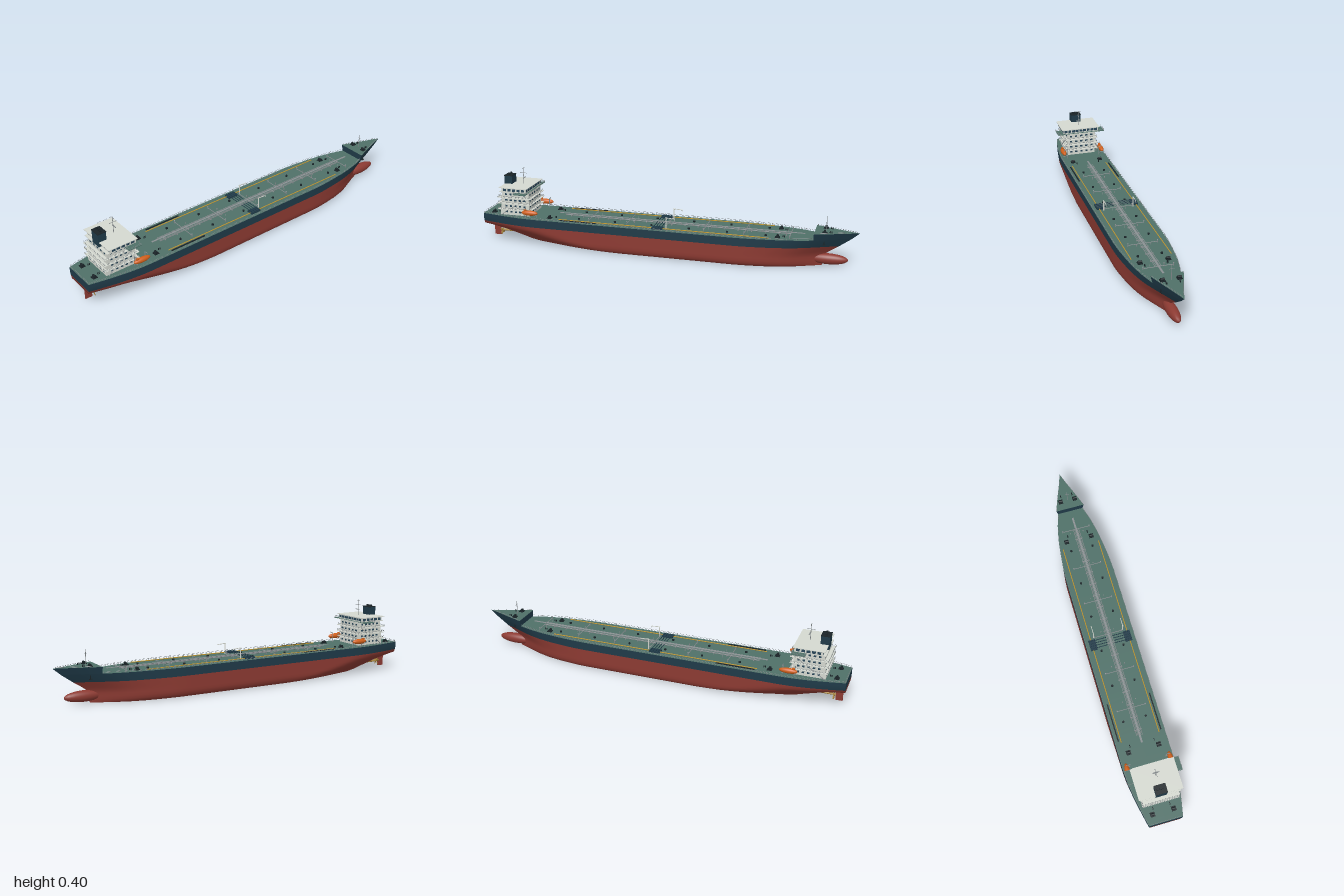
import * as THREE from 'three';
import { mergeGeometries } from 'three/addons/utils/BufferGeometryUtils.js';

const RED = 0x8c3a32, BLUE = 0x1f3a48, GREEN = 0x4f7068, WHITE = 0xd4d8d0, DARK = 0x1a2428,
  GREY = 0x8a9092, YELLOW = 0xc49a30, ORANGE = 0xd0601c, BRONZE = 0xa8843c, GLASS = 0x274558;
const DECK = 0.153, FORE = 0.187, BEAM = 0.133;
const lerp = THREE.MathUtils.lerp;

// Piecewise-linear lookup in [[key, value], ...]
function look(table, k) {
  if (k <= table[0][0]) return table[0][1];
  for (let i = 1; i < table.length; i++) {
    const [a, va] = table[i - 1], [b, vb] = table[i];
    if (k <= b) return lerp(va, vb, (k - a) / (b - a));
  }
  return table[table.length - 1][1];
}

// Hull lines: stem, stern and half breadth at each height
const bowX = y => look([[0, 0.82], [0.06, 0.828], [0.085, 0.86], [0.11, 0.9], [DECK, 0.96], [FORE, 1]], y);
const sternX = y => look([[0, -0.68], [0.01, -0.75], [0.02, -0.8], [0.05, -0.9], [0.075, -0.955], [0.095, -1]], y);
const sternW = y => look([[0, 0.3], [0.02, 0.12], [0.05, 0.15], [0.075, 0.36], [0.095, 0.58], [0.12, 0.66]], y);
const ENTRY = [[0, 0], [0.1, 0.16], [0.22, 0.37], [0.34, 0.57], [0.45, 0.71], [0.6, 0.84], [0.75, 0.92], [0.88, 0.975], [1, 1]];
function halfWidth(x, y) {
  const bow = look(ENTRY, (bowX(y) - x) / (bowX(y) - 0.38));
  const run = look([[0, 0.5], [0.095, 0.33]], y);
  const t = Math.max(0, Math.min(1, (x - sternX(y)) / run));
  const stern = lerp(sternW(y), 1, Math.sin(t * Math.PI / 2));
  const k = 1 - Math.min(1, y / 0.035);
  return BEAM * bow * stern * (0.75 + 0.25 * Math.sqrt(1 - k * k));
}

// Surface through a grid of points fn(i, j)
function grid(nu, nv, fn, flip = false) {
  const pos = [], idx = [];
  for (let j = 0; j <= nv; j++) for (let i = 0; i <= nu; i++) pos.push(...fn(i, j));
  for (let j = 0; j < nv; j++) for (let i = 0; i < nu; i++) {
    const a = j * (nu + 1) + i, b = a + 1, c = a + nu + 1, d = c + 1;
    if (flip) idx.push(a, d, b, a, c, d); else idx.push(a, b, d, a, d, c);
  }
  const g = new THREE.BufferGeometry();
  g.setAttribute('position', new THREE.Float32BufferAttribute(pos, 3));
  g.setIndex(idx);
  g.computeVertexNormals();
  return g;
}

// Two mirrored sides plus the flat aft end
function shell(rows, startX) {
  const n = 70, nv = rows.length - 1, out = [];
  for (const s of [1, -1]) out.push(grid(n, nv, (i, j) => {
    const y = rows[j], x = lerp(startX(y), bowX(y), i / n);
    return [x, y, s * halfWidth(x, y)];
  }, s < 0));
  out.push(grid(2, nv, (i, j) => {
    const x = startX(rows[j]);
    return [x, rows[j], (i - 1) * halfWidth(x, rows[j])];
  }));
  return out;
}
const plate = (y, startX, up) => grid(70, 2, (i, j) => {
  const x = lerp(startX, bowX(y), i / 70);
  return [x, y, (j - 1) * halfWidth(x, y)];
}, up);

const box = (x, y, z, w, h, d) => new THREE.BoxGeometry(w, h, d).translate(x, y, z);
function rod(a, b, r = 0.0012, sides = 6) {
  const p = new THREE.Vector3(...a), q = new THREE.Vector3(...b), dir = q.clone().sub(p);
  const g = new THREE.CylinderGeometry(r, r, dir.length(), sides);
  g.applyQuaternion(new THREE.Quaternion().setFromUnitVectors(new THREE.Vector3(0, 1, 0), dir.normalize()));
  return g.translate(...p.add(q).multiplyScalar(0.5).toArray());
}
const ball = (x, y, z, a, b, c) => new THREE.SphereGeometry(1, 24, 16).scale(a, b, c).translate(x, y, z);

// Guard rail through a list of deck points
function rail(points, h = 0.011) {
  const out = [], up = (p, k) => [p[0], p[1] + k, p[2]];
  points.forEach((p, i) => {
    out.push(rod(p, up(p, h), 0.0007, 4));
    if (i) for (const k of [h * 0.55, h]) out.push(rod(up(points[i - 1], k), up(p, k), 0.0005, 4));
  });
  return out;
}

export function createModel() {
  const ship = new THREE.Group();
  ship.name = 'tankerShip';
  const add = (name, color, geos) => {
    geos.forEach(g => g.deleteAttribute('uv'));
    const mesh = new THREE.Mesh(mergeGeometries(geos), new THREE.MeshStandardMaterial({ color }));
    mesh.name = name;
    ship.add(mesh);
  };

  // Hull, decks and bulb
  add('lowerHull', RED, [...shell([0.002, 0.004, 0.01, 0.02, 0.035, 0.05, 0.065, 0.08, 0.095, 0.11], sternX), plate(0.002, sternX(0.002), false)]);
  add('upperHull', BLUE, shell([0.11, 0.125, 0.14, DECK], sternX));
  add('forecastle', BLUE, shell([DECK, 0.17, FORE], () => 0.78));
  add('mainDeck', GREEN, [plate(DECK, -1, true)]);
  add('forecastleDeck', GREEN, [plate(FORE, 0.78, true)]);
  add('bulbousBow', RED, [ball(0.85, 0.039, 0, 0.1, 0.028, 0.027)]);

  // Rudder and propeller
  add('rudder', RED, [box(-0.962, 0.042, 0, 0.036, 0.07, 0.007), rod([-0.955, 0.07, 0], [-0.955, 0.1, 0], 0.004, 10)]);
  const blades = [rod([-0.945, 0.036, 0], [-0.84, 0.036, 0], 0.005, 12)];
  for (let i = 0; i < 5; i++) blades.push(new THREE.SphereGeometry(1, 10, 8).scale(0.002, 0.012, 0.007)
    .rotateY(0.6).translate(0, 0.015, 0).rotateX(i * Math.PI * 0.4).translate(-0.935, 0.036, 0));
  add('propeller', BRONZE, blades);

  // Accommodation block: stacked tiers, overhanging decks, windows and rails
  const walls = [], slabs = [], panes = [], rails = [];
  for (let t = 0; t < 4; t++) {
    const y = DECK + t * 0.0325, aft = -0.9 + t * 0.004;
    walls.push(box((aft - 0.735) / 2, y + 0.0163, 0, -0.735 - aft, 0.0325, 0.164));
    if (t < 3) {
      slabs.push(box(-0.815, y + 0.0325, 0, 0.19, 0.0025, 0.19));
      const c = [[-0.725, 0.094], [-0.909, 0.094], [-0.909, -0.094], [-0.725, -0.094], [-0.725, 0.094]], pts = [];
      for (let k = 0; k < 4; k++) for (let m = 0; m < 9; m++)
        pts.push([lerp(c[k][0], c[k + 1][0], m / 9), y + 0.0335, lerp(c[k][1], c[k + 1][1], m / 9)]);
      rails.push(...rail([...pts, pts[0]], 0.009));
    }
    for (let i = -2; i <= 2; i++) for (const x of [-0.735, aft]) panes.push(box(x, y + 0.018, i * 0.031, 0.002, 0.009, 0.014));
    for (let i = 0; i < 5; i++) for (const s of [1, -1]) panes.push(box(-0.865 + i * 0.026, y + 0.018, s * 0.082, 0.012, 0.009, 0.002));
  }
  // Bridge with wings
  walls.push(box(-0.81, 0.297, 0, 0.14, 0.024, 0.208));
  slabs.push(box(-0.813, 0.31, 0, 0.158, 0.003, 0.224), box(-0.813, 0.284, 0, 0.165, 0.003, 0.2));
  for (let i = 0; i < 9; i++) for (const x of [-0.74, -0.88]) panes.push(box(x, 0.298, (i - 4) * 0.0225, 0.002, 0.013, 0.017));
  for (let i = 0; i < 5; i++) for (const s of [1, -1]) panes.push(box(-0.862 + i * 0.026, 0.298, s * 0.104, 0.018, 0.013, 0.002));
  for (const s of [1, -1]) {
    rails.push(...rail([[-0.8, 0.286, s * 0.108], [-0.8, 0.286, s * 0.124], [-0.8, 0.286, s * 0.138], [-0.766, 0.286, s * 0.138],
      [-0.732, 0.286, s * 0.138], [-0.732, 0.286, s * 0.124], [-0.732, 0.286, s * 0.108]], 0.01));
    for (let i = 0; i < 3; i++) rails.push(rod([-0.89 + i * 0.05, 0.155 + i * 0.0325, s * 0.089], [-0.85 + i * 0.05, 0.187 + i * 0.0325, s * 0.089], 0.002));
  }
  add('accommodationBlock', WHITE, walls);
  add('accommodationDecks', WHITE, slabs);
  add('bridgeWings', GREEN, [box(-0.766, 0.285, 0, 0.07, 0.003, 0.276)]);
  add('windows', GLASS, panes);
  add('accommodationRails', GREY, rails);

  // Funnel and radar mast
  add('funnel', BLUE, [box(-0.873, 0.32, 0, 0.044, 0.07, 0.056)]);
  const pipes = [box(-0.873, 0.3555, 0, 0.047, 0.003, 0.059)];
  for (const z of [-0.015, 0, 0.015]) pipes.push(rod([-0.873, 0.354, z], [-0.873, 0.366, z], 0.005, 12));
  add('exhaustPipes', DARK, pipes);
  add('radarMast', GREY, [rod([-0.795, 0.31, 0], [-0.795, 0.4, 0], 0.0016, 8), rod([-0.795, 0.395, -0.015], [-0.795, 0.395, 0.015]),
    box(-0.79, 0.345, 0, 0.004, 0.003, 0.03), rod([-0.815, 0.37, 0], [-0.775, 0.37, 0])]);

  // Lifeboats and davits
  const boats = [], davits = [];
  for (const s of [1, -1]) {
    boats.push(ball(-0.72, 0.183, s * 0.113, 0.046, 0.014, 0.014), box(-0.745, 0.196, s * 0.113, 0.014, 0.008, 0.012));
    for (const x of [-0.75, -0.69]) davits.push(rod([x, DECK, s * 0.094], [x, 0.204, s * 0.094], 0.002),
      rod([x, 0.204, s * 0.094], [x, 0.207, s * 0.115], 0.002), rod([x, 0.207, s * 0.115], [x, 0.194, s * 0.115], 0.0007),
      rod([x, 0.168, s * 0.094], [x, 0.168, s * 0.12], 0.002));
  }
  add('lifeboats', ORANGE, boats);
  add('davits', GREY, davits);

  // Cargo pipes, walkway and cross lines
  const lines = [], vents = [], hatches = [];
  for (const z of [-0.015, -0.008, 0.008, 0.015]) lines.push(rod([-0.55, 0.159, z], [0.66, 0.159, z], 0.0018));
  for (let x = -0.52; x < 0.66; x += 0.07) lines.push(box(x, 0.1555, 0, 0.004, 0.005, 0.04));
  for (const x of [-0.4, -0.19, 0.02, 0.22, 0.43, 0.66]) {
    const w = Math.min(0.075, halfWidth(x, DECK) - 0.025);
    lines.push(rod([x, 0.159, -w], [x, 0.159, w], 0.002), rod([x, DECK, 0], [x, 0.173, 0], 0.0015));
    for (const s of [1, -1]) vents.push(rod([x, DECK, s * w], [x, 0.168, s * w], 0.0022, 8), ball(x, 0.168, s * w, 0.0035, 0.0025, 0.0035));
  }
  for (let i = 0; i < 6; i++) for (const s of [1, -1]) {
    hatches.push(new THREE.CylinderGeometry(0.006, 0.006, 0.007, 12).translate(-0.46 + i * 0.2, 0.1565, s * 0.06));
    vents.push(rod([-0.36 + i * 0.2, DECK, s * 0.035], [-0.36 + i * 0.2, 0.164, s * 0.035], 0.002));
  }
  add('cargoPipes', GREY, lines);
  add('vents', GREY, vents);
  add('tankHatches', DARK, hatches);
  add('walkway', GREY, [box(0.07, 0.163, 0, 1.32, 0.0015, 0.01)]);
  add('sidePipes', YELLOW, [1, -1].map(s => rod([-0.56, 0.157, s * 0.1], [0.56, 0.157, s * 0.1], 0.0025)));

  // Manifolds, hose cranes and stowed gangways
  const manifolds = [], cranes = [], gangways = [];
  for (const s of [1, -1]) {
    manifolds.push(box(-0.018, 0.157, s * 0.095, 0.058, 0.008, 0.036));
    for (let i = 0; i < 4; i++) manifolds.push(rod([-0.039 + i * 0.014, 0.163, s * 0.018], [-0.039 + i * 0.014, 0.163, s * 0.112], 0.002));
    cranes.push(rod([0.025, DECK, s * 0.08], [0.025, 0.208, s * 0.08], 0.003, 8), rod([0.02, 0.21, s * 0.08], [0.07, 0.207, s * 0.08], 0.002),
      rod([0.07, 0.207, s * 0.08], [0.07, 0.198, s * 0.08], 0.0007));
    gangways.push(box(-0.45, 0.157, s * 0.113, 0.2, 0.004, 0.006));
  }
  add('manifolds', BLUE, manifolds);
  add('hoseCranes', WHITE, cranes);
  add('gangways', DARK, gangways);

  // Mooring gear, foremast and anchors
  const gear = [];
  for (const [x, y, z] of [[0.83, FORE, 0.04], [-0.95, DECK, 0.055], [0.6, DECK, 0.07], [-0.62, DECK, 0.08]]) for (const s of [1, -1]) {
    gear.push(box(x, y + 0.002, s * z, 0.024, 0.004, 0.024), rod([x, y + 0.009, s * z - 0.01], [x, y + 0.009, s * z + 0.01], 0.006, 12));
    for (const k of [-0.004, 0.004]) gear.push(rod([x + 0.03 + k, y, s * z * 0.8], [x + 0.03 + k, y + 0.009, s * z * 0.8], 0.0025, 8));
  }
  add('mooringWinches', DARK, gear);
  add('foremast', GREY, [rod([0.835, FORE, 0], [0.835, 0.265, 0], 0.0016, 8), rod([0.835, 0.245, -0.012], [0.835, 0.245, 0.012])]);
  const anchors = [1, -1].flatMap(s => {
    const z = s * (halfWidth(0.83, 0.14) + 0.001);
    return [rod([0.83, 0.126, z], [0.83, 0.152, z], 0.002), box(0.83, 0.127, z, 0.016, 0.004, 0.004)];
  });
  add('anchors', DARK, anchors);

  // Guard rails along both deck edges
  const edges = [];
  for (const s of [1, -1]) {
    for (const [y, from, to, n] of [[DECK, -0.995, 0.775, 70], [FORE, 0.785, 0.985, 9]]) {
      const pts = [];
      for (let i = 0; i <= n; i++) { const x = lerp(from, to, i / n); pts.push([x, y, s * (halfWidth(x, y) - 0.002)]); }
      edges.push(...rail(pts, y === FORE ? 0.006 : 0.01));
    }
  }
  edges.push(...rail([-0.08, -0.04, 0, 0.04, 0.08].map(z => [-0.997, DECK, z]), 0.01));
  add('deckRails', GREY, edges);
  return ship;
}
